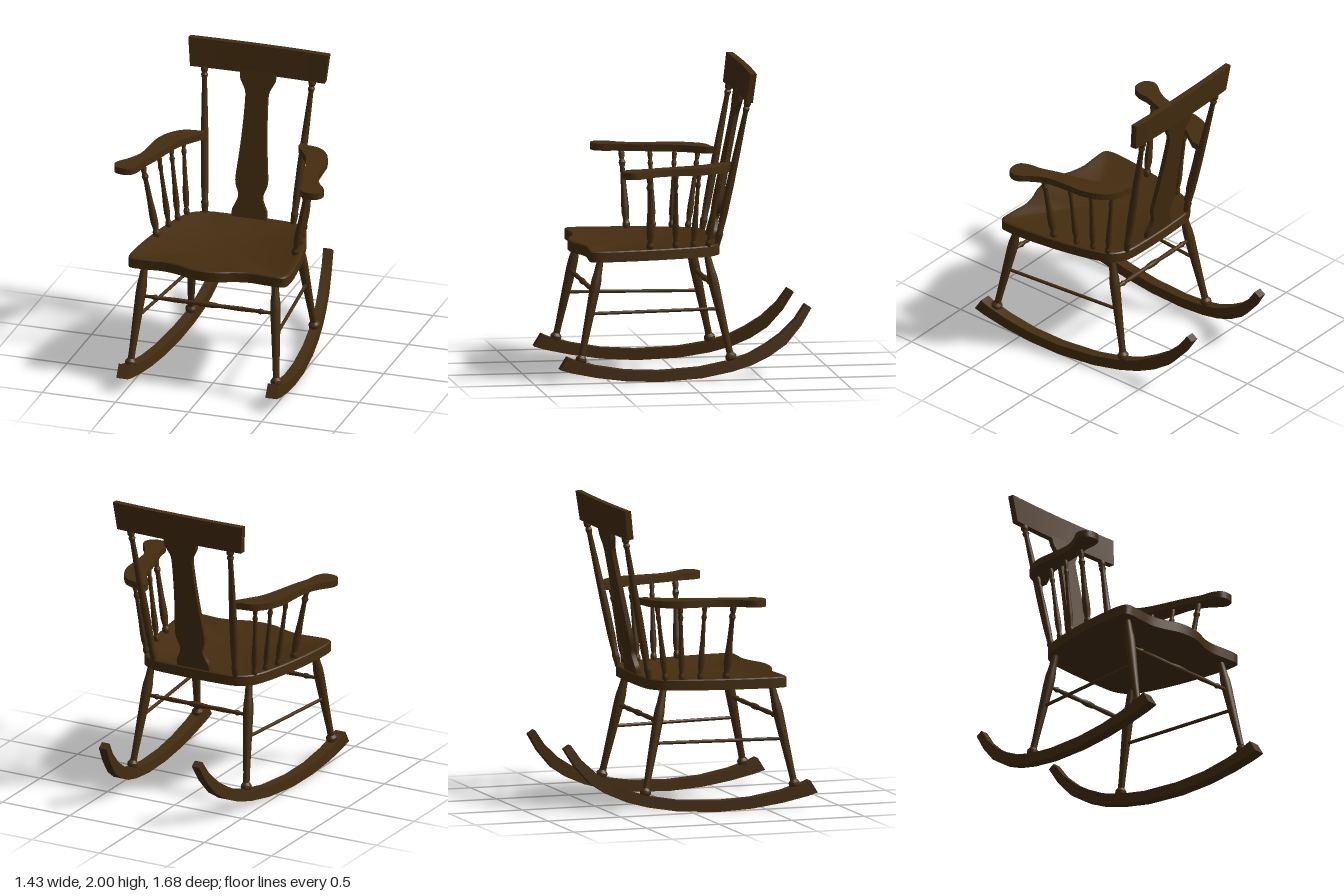
import * as THREE from 'three';
import { toCreasedNormals } from 'three/addons/utils/BufferGeometryUtils.js';

const V = (x, y, z) => new THREE.Vector3(x, y, z);

export function createModel() {
  const model = new THREE.Group();
  model.name = 'rockingChair';
  const wood = new THREE.MeshStandardMaterial({ color: 0x452d10 });
  wood.name = 'darkWood';

  function add(name, geometry, crease = 0.6) {
    const mesh = new THREE.Mesh(toCreasedNormals(geometry, crease), wood);
    mesh.name = name;
    model.add(mesh);
    return mesh;
  }

  // Skin a list of equal rings, each counterclockwise about the travel direction
  function loft(rings) {
    const pos = [], n = rings[0].length;
    const tri = (...pts) => pts.forEach(p => pos.push(p.x, p.y, p.z));
    for (let i = 0; i < rings.length - 1; i++) {
      for (let k = 0; k < n; k++) {
        const j = (k + 1) % n, a = rings[i], b = rings[i + 1];
        tri(a[k], a[j], b[j]);
        tri(a[k], b[j], b[k]);
      }
    }
    [rings[0], rings[rings.length - 1]].forEach((ring, end) => {
      const c = ring.reduce((s, p) => s.add(p), V(0, 0, 0)).divideScalar(n);
      ring.forEach((p, k) => {
        const q = ring[(k + 1) % n];
        if (end) tri(c, p, q); else tri(c, q, p);
      });
    });
    const g = new THREE.BufferGeometry();
    g.setAttribute('position', new THREE.Float32BufferAttribute(pos, 3));
    return g;
  }

  // Turned part from a to b; profile is [radius, fraction of length]
  function turned(name, a, b, profile) {
    const len = a.distanceTo(b);
    const pts = [[0, 0], ...profile, [0, 1]].map(([r, t]) => new THREE.Vector2(r, t * len));
    const mesh = add(name, new THREE.LatheGeometry(pts, 14));
    mesh.position.copy(a);
    mesh.quaternion.setFromUnitVectors(V(0, 1, 0), b.clone().sub(a).normalize());
  }

  // Seat: wavy front, rounded back, shallow dished top
  const half = [[0.1, 0.683], [0.2, 0.645], [0.3, 0.627], [0.42, 0.635], [0.525, 0.632], [0.545, 0.59],
    [0.528, 0.32], [0.487, 0.08], [0.435, -0.11], [0.395, -0.19], [0.31, -0.245], [0.15, -0.26]];
  const outline = [[0, 0.695], ...half, [0, -0.263], ...half.slice().reverse().map(([x, z]) => [-x, z])];
  const edge = new THREE.CatmullRomCurve3(outline.map(([x, z]) => V(x, 0, z)), true).getPoints(104).slice(0, -1);
  const seatRings = [[1, 0.8], [1, 0.863], [0.985, 0.87], [0.93, 0.869], [0.89, 0.86]];
  add('seat', loft(seatRings.map(([s, y]) => edge.map(p => V(p.x * s, y, 0.2 + (p.z - 0.2) * s)))));

  // Turning profiles
  const legProfile = [[0.024, 0], [0.024, 0.05], [0.036, 0.07], [0.036, 0.095], [0.022, 0.12], [0.022, 0.2],
    [0.029, 0.5], [0.034, 0.72], [0.033, 0.8], [0.027, 0.86], [0.024, 0.93], [0.02, 1]];
  const spindleProfile = [[0.013, 0], [0.02, 0.04], [0.02, 0.07], [0.014, 0.1], [0.02, 0.2], [0.02, 0.3],
    [0.015, 0.5], [0.012, 0.78], [0.018, 0.83], [0.012, 0.87], [0.017, 0.94], [0.011, 1]];
  const postProfile = [[0.018, 0], [0.023, 0.06], [0.025, 0.075], [0.02, 0.09], [0.025, 0.2], [0.026, 0.4],
    [0.022, 0.65], [0.016, 0.9], [0.023, 0.925], [0.016, 0.94], [0.024, 0.955], [0.024, 0.98], [0.016, 1]];
  const railProfile = [[0.01, 0], [0.012, 0.08], [0.019, 0.11], [0.012, 0.13], [0.016, 0.25], [0.013, 0.42],
    [0.018, 0.45], [0.02, 0.5], [0.018, 0.55], [0.013, 0.58], [0.016, 0.75], [0.012, 0.87], [0.019, 0.89],
    [0.012, 0.92], [0.01, 1]];

  // Rocker side profile, front to back: bottom z, y and top z, y
  const rockerSide = [[0.84, 0.1, 0.79, 0.18], [0.77, 0.078, 0.74, 0.158], [0.6, 0.042, 0.6, 0.118],
    [0.4, 0.013, 0.4, 0.083], [0.17, 0, 0.18, 0.07], [-0.1, 0.013, -0.09, 0.083], [-0.3, 0.046, -0.28, 0.115],
    [-0.44, 0.085, -0.42, 0.157], [-0.56, 0.138, -0.53, 0.213], [-0.67, 0.21, -0.63, 0.277],
    [-0.77, 0.325, -0.73, 0.37], [-0.84, 0.44, -0.798, 0.467]];
  const rockerX = z => 0.345 + 0.148 * (z + 0.84) - 0.0437 * (z + 0.84) * (z + 0.3);

  const armOutline = [[0.322, -0.32], [0.375, -0.3], [0.44, -0.29], [0.5, -0.255], [0.553, -0.18], [0.583, -0.09],
    [0.59, 0], [0.605, 0.165], [0.65, 0.267], [0.7, 0.335], [0.713, 0.38], [0.69, 0.43], [0.635, 0.445],
    [0.585, 0.43], [0.555, 0.37], [0.545, 0.29], [0.51, 0.18], [0.465, 0], [0.43, -0.11], [0.385, -0.18], [0.325, -0.267]];

  // Arm spindles: bottom x, z and top x, z, thickness
  const spindles = [[0.47, 0.235, 0.565, 0.255, 1.25], [0.447, 0.065, 0.515, 0.075, 1],
    [0.425, -0.053, 0.485, -0.083, 1], [0.4, -0.155, 0.45, -0.232, 1]];

  for (const s of [1, -1]) {
    const side = s > 0 ? 'left' : 'right';

    add(side + 'Rocker', loft(rockerSide.map(([bz, by, tz, ty]) => {
      const x = s * rockerX(bz), h = 0.033 + 0.006 * bz;
      return [V(x - h, by, bz), V(x - h, ty, tz), V(x + h, ty, tz), V(x + h, by, bz)];
    })), 0.5);

    turned(side + 'FrontLeg', V(s * 0.503, 0.1, 0.708), V(s * 0.445, 0.81, 0.558), legProfile);
    turned(side + 'BackLeg', V(s * 0.427, 0.08, -0.315), V(s * 0.36, 0.81, -0.155), legProfile);
    turned(side + 'Stretcher', V(s * 0.475, 0.455, 0.63), V(s * 0.393, 0.455, -0.23), [[0.011, 0], [0.011, 1]]);
    turned(side + 'BackPost', V(s * 0.302, 0.86, -0.232), V(s * 0.371, 1.83, -0.427), postProfile);

    spindles.forEach(([bx, bz, tx, tz, k], i) => turned(side + 'ArmSpindle' + (i + 1),
      V(s * bx, 0.86, bz), V(s * tx, 1.37, tz), spindleProfile.map(([r, t]) => [r * k, t])));

    // Armrest with a rounded hand grip
    const armCurve = new THREE.SplineCurve(armOutline.map(([x, z]) => new THREE.Vector2(s * x, z)));
    const armGeo = new THREE.ExtrudeGeometry(new THREE.Shape(armCurve.getPoints(80)), { depth: 0.045, bevelEnabled: false });
    armGeo.rotateX(Math.PI / 2);
    add(side + 'Armrest', armGeo).position.y = 1.406;
  }

  // Cross stretchers between the legs
  turned('frontStretcher', V(-0.46, 0.597, 0.603), V(0.46, 0.597, 0.603), railProfile);
  turned('backStretcher', V(-0.38, 0.597, -0.201), V(0.38, 0.597, -0.201), railProfile);

  // Crest rail: leaning board, slightly bowed backward and flared at the top
  const crest = [];
  for (let i = 0; i <= 12; i++) {
    const u = i / 6 - 1, bow = -0.012 * (1 - u * u);
    crest.push([V(u * 0.48, 2, -0.463 + bow), V(u * 0.48, 2, -0.422 + bow),
      V(u * 0.46, 1.81, -0.397 + bow), V(u * 0.46, 1.81, -0.44 + bow)]);
  }
  add('crestRail', loft(crest));

  // Back splat: vase-shaped board, half width at each height
  const splat = [[0.118, 0], [0.117, 0.05], [0.1, 0.085], [0.083, 0.13], [0.083, 0.16], [0.1, 0.205], [0.108, 0.25],
    [0.103, 0.32], [0.09, 0.46], [0.08, 0.62], [0.075, 0.78], [0.079, 0.84], [0.1, 0.885], [0.117, 0.92], [0.12, 0.98]];
  const sideCurve = new THREE.SplineCurve(splat.map(([x, y]) => new THREE.Vector2(x, y))).getPoints(45);
  const splatShape = new THREE.Shape([...sideCurve,
    ...sideCurve.slice().reverse().map(p => new THREE.Vector2(-p.x, p.y))]);
  const splatMesh = add('backSplat', new THREE.ExtrudeGeometry(splatShape, { depth: 0.03, bevelEnabled: false }));
  splatMesh.position.set(0, 0.862, -0.253);
  splatMesh.rotation.x = -Math.atan2(0.185, 0.95);

  return model;
}
